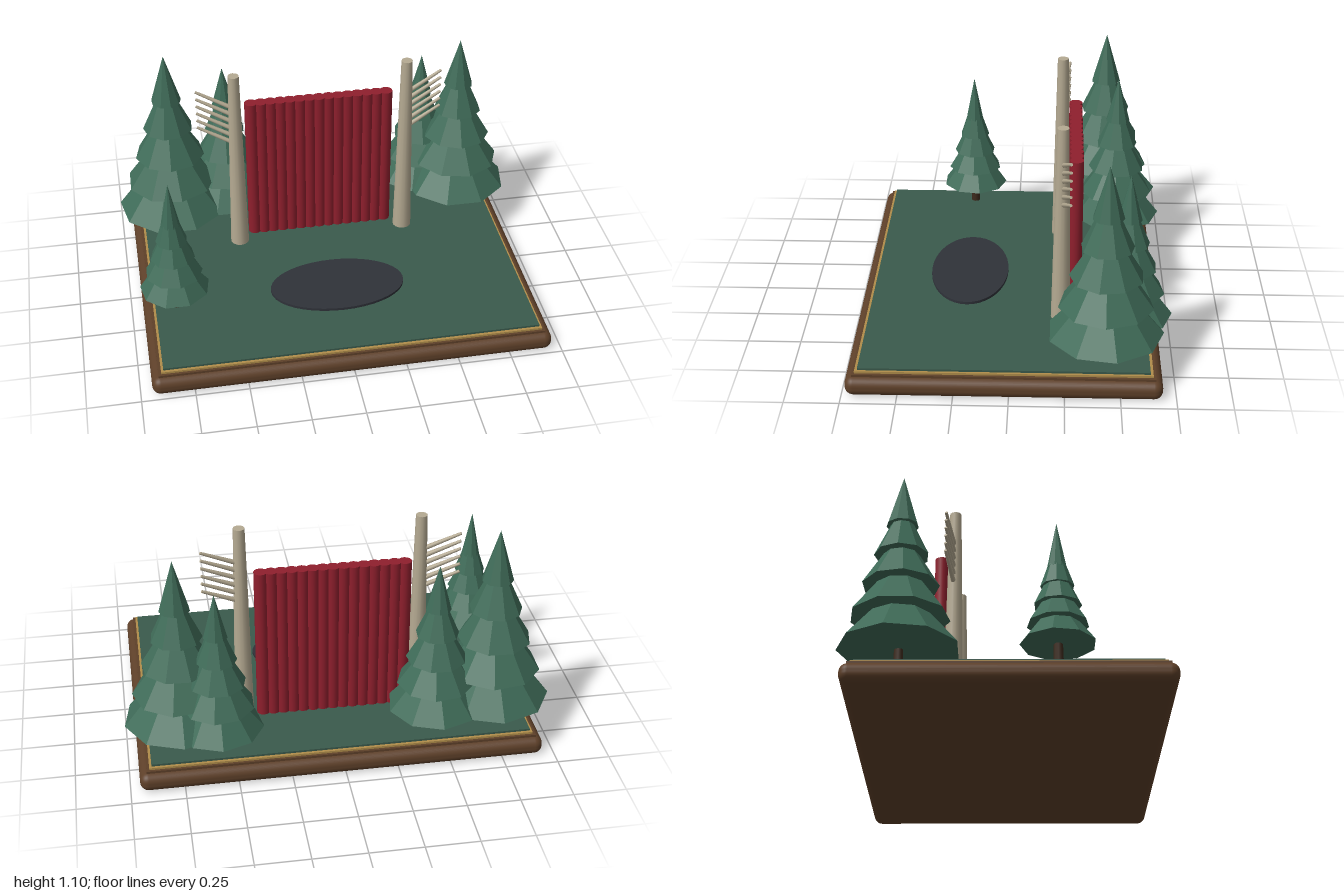
import * as THREE from 'three';
import { RoundedBoxGeometry } from 'three/addons/geometries/RoundedBoxGeometry.js';

const mat = (color, flatShading = false) => {
  const m = new THREE.MeshStandardMaterial({ color });
  m.flatShading = flatShading;
  return m;
};
const WOOD = mat(0x5e4029), BRASS = mat(0xb08d4a), GRASS = mat(0x3a5a4c);
const LEAF = mat(0x3f6b58, true), BARK = mat(0x3d2a1c), PALE = mat(0xb5aa92);
const RED = mat(0x8f1f2d), POOL = mat(0x2f3239);

const GROUND = 0.12;   // height of the grass surface
const SKIRT = 0.235;   // height of the lowest foliage tier
const CX = 0.005, CZ = 0.023;

function add(parent, name, geometry, material, x = 0, y = 0, z = 0) {
  const mesh = new THREE.Mesh(geometry, material);
  mesh.name = name;
  mesh.position.set(x, y, z);
  parent.add(mesh);
  return mesh;
}

// Tapered rod between two points
function rod(parent, name, a, b, r0, r1, material) {
  const dir = b.clone().sub(a);
  const mesh = add(parent, name, new THREE.CylinderGeometry(r1, r0, dir.length(), 8), material);
  mesh.position.copy(a).add(b).multiplyScalar(0.5);
  mesh.quaternion.setFromUnitVectors(new THREE.Vector3(0, 1, 0), dir.normalize());
}

// Stepped plinth with metal trim and a grass top
function makeBase() {
  const g = new THREE.Group();
  g.name = 'base';
  add(g, 'plinth', new RoundedBoxGeometry(1.9, 0.09, 1.424, 4, 0.04), WOOD, CX, 0.045, CZ);
  const steps = [
    ['lowerTrim', 1.834, 1.36, 0.085, 0.1, WOOD],
    ['brassTrim', 1.808, 1.336, 0.1, 0.11, BRASS],
    ['grass', 1.786, 1.31, 0.11, GROUND, GRASS],
  ];
  for (const [name, w, d, y0, y1, m] of steps)
    add(g, name, new THREE.BoxGeometry(w, y1 - y0, d), m, CX, (y0 + y1) / 2, CZ);
  return g;
}

// Conifer: short trunk and five overlapping nine-sided cones
function makeTree(x, z, radius, tip, topFraction) {
  const g = new THREE.Group();
  g.name = 'tree';
  g.position.set(x, 0, z);
  const H = tip - SKIRT, tiers = 5;
  add(g, 'trunk', new THREE.CylinderGeometry(0.018, 0.023, 0.2, 8), BARK, 0, GROUND + 0.1, 0);
  for (let i = 0; i < tiers; i++) {
    const t = i / (tiers - 1);
    const bottom = SKIRT + H * topFraction * t;
    const h = THREE.MathUtils.lerp(0.38, 1 - topFraction, t) * H;
    const tier = add(g, 'foliageTier', new THREE.ConeGeometry(radius * (1 - 0.73 * t), h, 9), LEAF, 0, bottom + h / 2, 0);
    tier.rotation.y = Math.PI + i * 0.5;
  }
  return g;
}

// Bare pole with a fan of parallel branches reaching outwards
function makePole(side) {
  const g = new THREE.Group();
  g.name = side > 0 ? 'leftPole' : 'rightPole';
  g.position.set(CX * 0.6 + side * 0.422, 0, -0.23);
  add(g, 'post', new THREE.CylinderGeometry(0.027, 0.046, 0.973, 14), PALE, 0, GROUND + 0.4865, 0);
  for (let i = 0; i < 6; i++) {
    const drop = i * 0.04;
    rod(g, 'branch', new THREE.Vector3(0, 0.91 - drop, 0),
      new THREE.Vector3(side * 0.182, 1.0 - drop, -0.037), 0.012, 0.007, PALE);
  }
  return g;
}

// Curtain: a row of touching upright folds
function makeCurtain() {
  const g = new THREE.Group();
  g.name = 'curtain';
  const folds = 15, fold = new THREE.CylinderGeometry(0.032, 0.032, 0.77, 14);
  for (let i = 0; i < folds; i++)
    add(g, 'fold', fold, RED, 0.003 + (i - (folds - 1) / 2) * 0.048, 0.51, -0.295);
  return g;
}

export function createModel() {
  const model = new THREE.Group();
  model.name = 'groveScene';
  model.add(makeBase(), makeCurtain(), makePole(1), makePole(-1));

  // Oval pool in front of the curtain
  const pool = add(model, 'pool', new THREE.CylinderGeometry(1, 1, 0.014, 40), POOL, CX, 0.126, 0.22);
  pool.scale.set(0.328, 1, 0.19);

  // x, z, skirt radius, tip height, height fraction of the top tier
  const trees = [
    [-0.733, -0.455, 0.273, 1.103, 0.71],
    [-0.447, -0.51, 0.222, 0.975, 0.7],
    [-0.787, 0.234, 0.167, 0.83, 0.62],
    [0.743, -0.43, 0.265, 1.06, 0.7],
    [0.573, -0.532, 0.208, 0.933, 0.69],
  ];
  for (const t of trees) model.add(makeTree(...t));
  return model;
}
